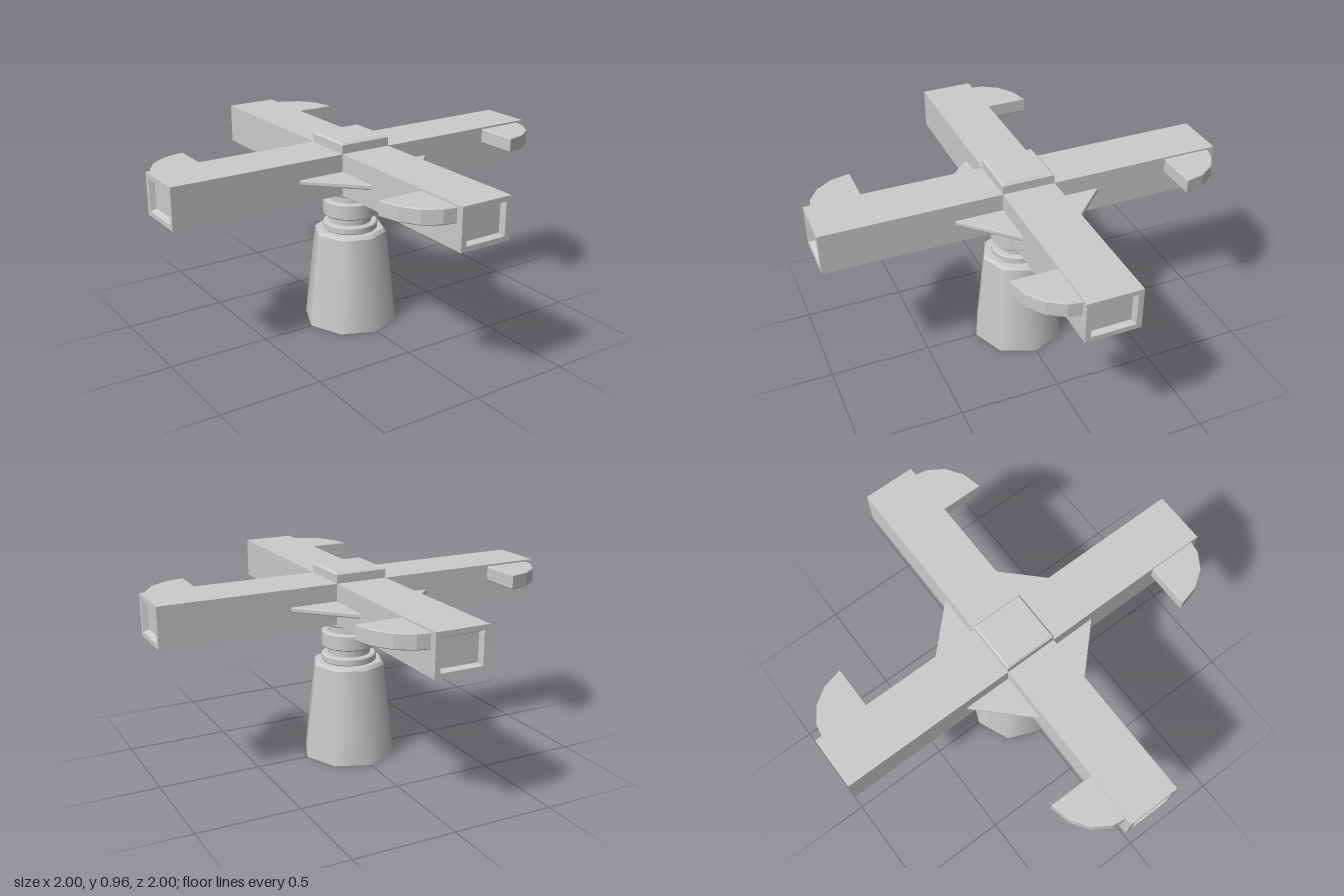
import * as THREE from 'three';

const material = new THREE.MeshStandardMaterial({ color: 0xcccccc });
const shellMaterial = new THREE.MeshStandardMaterial({ color: 0xcccccc, side: THREE.DoubleSide });

function addMesh(parent, name, geometry, mat = material) {
  const mesh = new THREE.Mesh(geometry, mat);
  mesh.name = name;
  parent.add(mesh);
  return mesh;
}

// Joins rectangular sections [halfWidth, halfHeight, z] into a hard-edged skin.
function rectLoft(sections) {
  const corners = [[1, 1], [-1, 1], [-1, -1], [1, -1]];
  const point = ([w, h, z], i) => [corners[i % 4][0] * w, corners[i % 4][1] * h, z];
  const positions = [];
  for (let s = 0; s < sections.length - 1; s++) {
    for (let i = 0; i < 4; i++) {
      const a = point(sections[s], i), b = point(sections[s], i + 1);
      const c = point(sections[s + 1], i + 1), d = point(sections[s + 1], i);
      // Skip the collapsed half of each cap triangle
      if (sections[s][0] > 0) positions.push(...a, ...b, ...c);
      if (sections[s + 1][0] > 0) positions.push(...a, ...c, ...d);
    }
  }
  const geometry = new THREE.BufferGeometry();
  geometry.setAttribute('position', new THREE.Float32BufferAttribute(positions, 3));
  geometry.computeVertexNormals();
  return geometry;
}

// Horizontal plate: outline given as [x, z], spanning y0 to y1 with a small bevel.
function plate(outline, y0, y1, bevel) {
  const shape = new THREE.Shape(outline.map(([x, z]) => new THREE.Vector2(x, -z)));
  const geometry = new THREE.ExtrudeGeometry(shape, {
    depth: y1 - y0 - 2 * bevel, bevelEnabled: true, bevelSegments: 1,
    bevelThickness: bevel, bevelSize: bevel, bevelOffset: -bevel,
  });
  return geometry.rotateX(-Math.PI / 2).translate(0, y0 + bevel, 0);
}

function lathe(points, segments) {
  return new THREE.LatheGeometry(points.map(([r, y]) => new THREE.Vector2(r, y)), segments);
}

// Short collar with bevelled rims and sharp shading breaks (repeated profile points).
function collar(radius, y0, y1) {
  const b = 0.006;
  return lathe([
    [0.001, y0], [radius - b, y0], [radius - b, y0], [radius, y0 + b], [radius, y0 + b],
    [radius, y1 - b], [radius, y1 - b], [radius - b, y1], [radius - b, y1], [0.001, y1],
  ], 24);
}

export function createModel() {
  const model = new THREE.Group();
  model.name = 'crossNozzle';

  // Hollow eight-sided foot, open at the bottom
  addMesh(model, 'base', lathe([
    [0.235, 0], [0.181, 0.475], [0.181, 0.475], [0.167, 0.49], [0.167, 0.49], [0.001, 0.49],
  ], 8), shellMaterial);

  // Neck with three collars
  addMesh(model, 'neck', new THREE.CylinderGeometry(0.105, 0.105, 0.24, 24).translate(0, 0.6, 0));
  [[0.488, 0.527], [0.564, 0.645], [0.682, 0.716]].forEach(([y0, y1], i) => {
    addMesh(model, 'neckCollar' + (i + 1), collar(0.135, y0, y1));
  });

  // Square hub with a bevelled top
  const hub = rectLoft([
    [0, 0, 0.715], [0.13, 0.13, 0.715], [0.13, 0.13, 0.957], [0.122, 0.122, 0.965], [0, 0, 0.965],
  ]);
  addMesh(model, 'hub', hub.rotateX(-Math.PI / 2));

  // Arm with a recessed end
  const armGeometry = rectLoft([
    [0.13, 0.1, 0.1], [0.13, 0.1, 1], [0.104, 0.077, 1], [0.093, 0.066, 0.975], [0, 0, 0.975],
  ]).rotateY(Math.PI / 2).translate(0, 0.815, 0);

  // Quarter-round fin on one side of each arm
  const finGeometry = plate([
    [0.725, 0.11], [0.725, 0.346], [0.825, 0.322], [0.905, 0.268], [0.955, 0.19], [0.969, 0.11],
  ], 0.834, 0.906, 0.004);

  // Thin triangular brace in each inner corner
  const braceGeometry = plate([[0.1, 0.1], [0.1, 0.395], [0.395, 0.1]], 0.804, 0.83, 0.006);

  for (let i = 0; i < 4; i++) {
    const quarter = new THREE.Group();
    quarter.name = 'armAssembly' + (i + 1);
    addMesh(quarter, 'arm', armGeometry);
    addMesh(quarter, 'fin', finGeometry);
    addMesh(quarter, 'cornerBrace', braceGeometry);
    quarter.rotation.y = i * Math.PI / 2;
    model.add(quarter);
  }

  return model;
}
